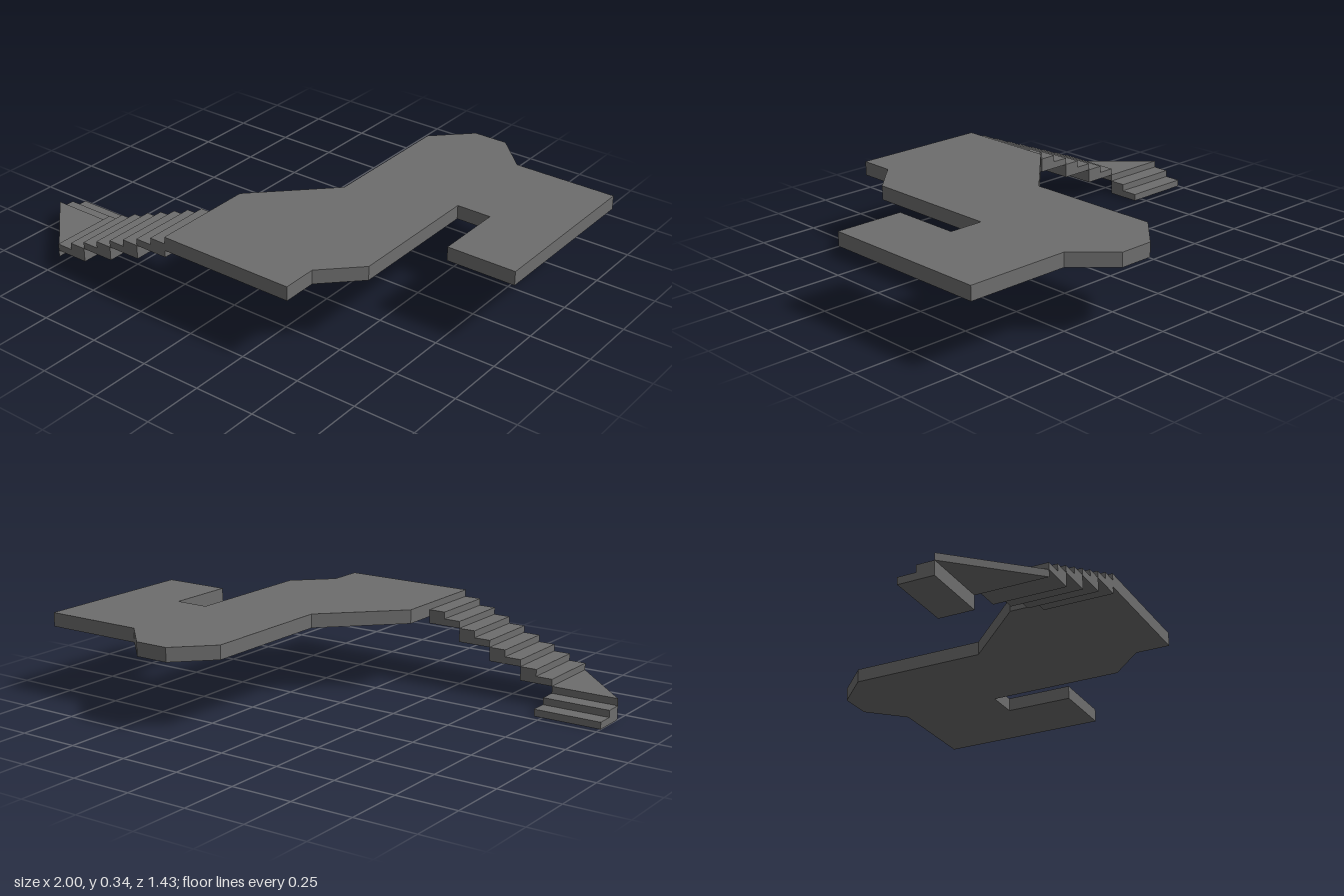
import * as THREE from 'three';

const U = 1 / 7;      // plan module
const RISE = U / 5;   // height of one step

const material = new THREE.MeshStandardMaterial({ color: 0x6d6d6d, flatShading: true });

function extrude(points, depth) {
  const shape = new THREE.Shape(points.map(([a, b]) => new THREE.Vector2(a, b)));
  return new THREE.ExtrudeGeometry(shape, { depth, bevelEnabled: false });
}

// Horizontal slab from a plan outline of [x, z] in modules
function slab(name, outline, bottom, top) {
  const geometry = extrude(outline.map(([x, z]) => [x * U, -z * U]), top - bottom);
  geometry.rotateX(-Math.PI / 2);
  const mesh = new THREE.Mesh(geometry, material);
  mesh.name = name;
  mesh.position.y = bottom;
  return mesh;
}

// Block with two steps, climbing along +x and two modules wide along +z
function stepBlock(name) {
  const profile = [[0, 0], [U, 0], [U, 2 * RISE], [U / 2, 2 * RISE], [U / 2, RISE], [0, RISE]];
  const mesh = new THREE.Mesh(extrude(profile, 2 * U), material);
  mesh.name = name;
  return mesh;
}

export function createModel() {
  const group = new THREE.Group();
  group.name = 'walkway';

  // Upper platform with angled corners and a notch
  group.add(slab('platform', [
    [-1, 5], [3, 5], [3, 4], [4, 3], [4, -1], [5, -1], [5, 1], [7, 1],
    [7, -4], [4, -4], [3, -5], [2, -5], [1, -4], [1, 0], [-1, 2],
  ], 10 * RISE, 12 * RISE));

  // Main flight rising to the platform
  const stairs = new THREE.Group();
  stairs.name = 'mainStairs';
  for (let i = 0; i < 4; i++) {
    const block = stepBlock('stairBlock' + (i + 1));
    block.position.set((-5 + i) * U, (3 + 2 * i) * RISE, 3 * U);
    stairs.add(block);
  }
  group.add(stairs);

  // Triangular turning step
  group.add(slab('cornerLanding', [[-7, 3], [-5, 5], [-5, 3]], 2 * RISE, 3 * RISE));

  // Bottom steps, turned to climb towards the front
  const bottom = stepBlock('bottomSteps');
  bottom.rotation.y = -Math.PI / 2;
  bottom.position.set(-5 * U, 0, 2 * U);
  group.add(bottom);

  return group;
}
